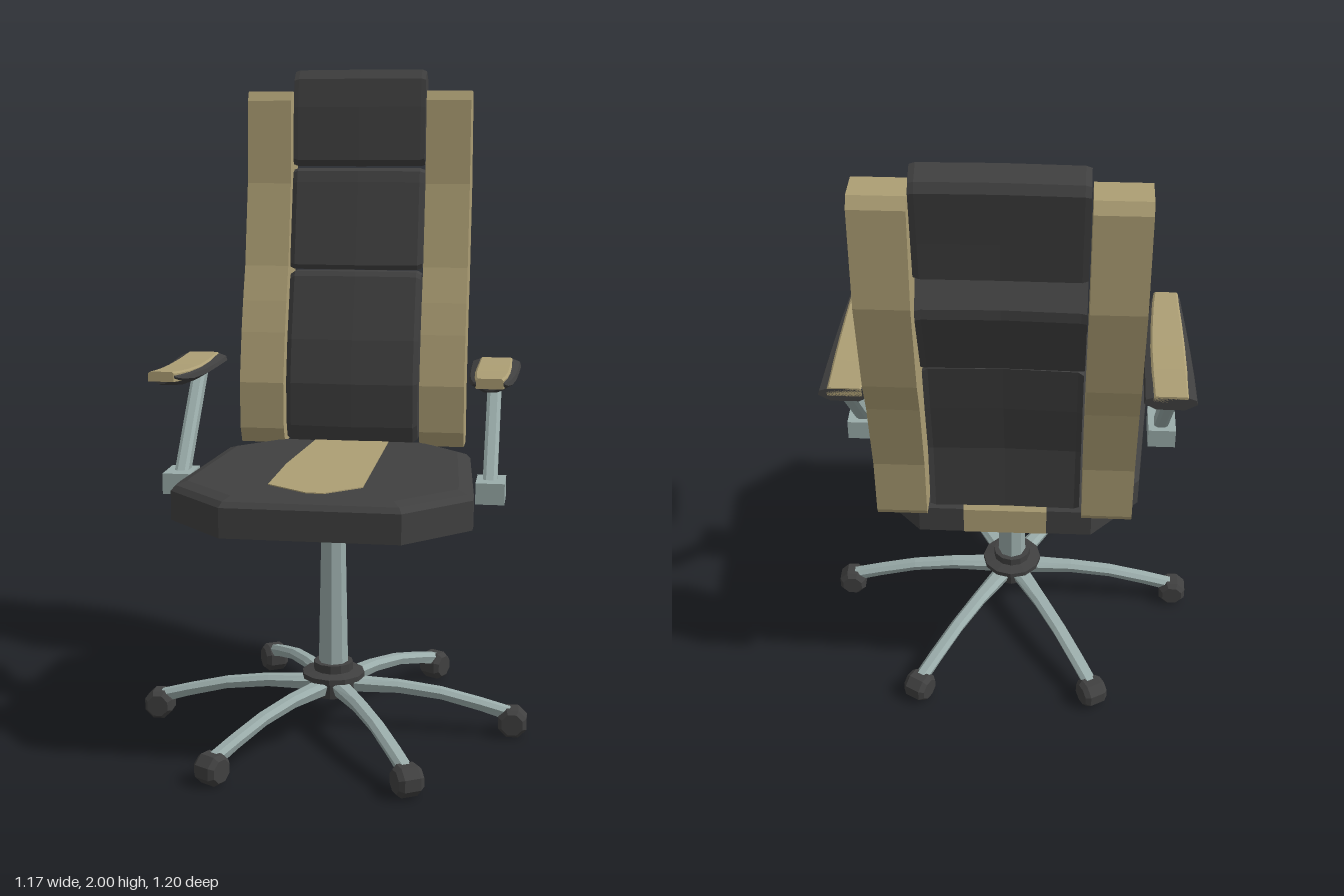
import * as THREE from 'three';

const material = (color) => {
  const m = new THREE.MeshStandardMaterial({ color, flatShading: true });
  return m;
};

// Closed solid through a list of rings (arrays of [x, y, z]); axis = the direction the rings follow
function loft(rings, axis) {
  const [u, v] = [0, 1, 2].filter((k) => k !== axis);
  const pos = [];
  let volume = 0;
  const tri = (a, b, c) => {
    pos.push([a, b, c]);
    volume += new THREE.Vector3(...a).dot(new THREE.Vector3(...b).cross(new THREE.Vector3(...c)));
  };
  const n = rings[0].length;
  for (let i = 0; i + 1 < rings.length; i++) {
    for (let j = 0; j < n; j++) {
      const k = (j + 1) % n, a = rings[i], b = rings[i + 1];
      tri(a[j], a[k], b[k]);
      tri(a[j], b[k], b[j]);
    }
  }
  const cap = (ring, reverse) => {
    const flat = ring.map((p) => new THREE.Vector2(p[u], p[v]));
    const sign = THREE.ShapeUtils.area(flat);
    for (const f of THREE.ShapeUtils.triangulateShape(flat, [])) {
      const same = THREE.ShapeUtils.area(f.map((i) => flat[i])) * sign > 0;
      const [a, b, c] = f.map((i) => ring[i]);
      if (same !== reverse) tri(a, b, c); else tri(a, c, b);
    }
  };
  cap(rings[0], true);
  cap(rings[rings.length - 1], false);
  const g = new THREE.BufferGeometry();
  const flat = pos.flatMap((t) => (volume < 0 ? [t[0], t[2], t[1]] : t)).flat();
  g.setAttribute('position', new THREE.Float32BufferAttribute(flat, 3));
  g.computeVertexNormals();
  return g;
}

// Side profile [z, y] swept along x; stations are [x, scale, forward shift]
const sweepX = (profile, stations) => {
  const c = [0, 1].map((k) => {
    const vals = profile.map((p) => p[k]);
    return (Math.min(...vals) + Math.max(...vals)) / 2;
  });
  return loft(stations.map(([x, s, f = 0]) => profile.map(([z, y]) =>
    [x, c[1] + (y - c[1]) * s, c[0] + (z - c[0]) * s + f])), 0);
};

// Plan outline [x, z] stacked along y; levels are [y, scale]
const stackY = (outline, levels, cz = 0.08) => loft(levels.map(([y, s]) =>
  outline.map(([x, z]) => [x * s, y, cz + (z - cz) * s])), 1);

const lathe = (points, sides) => new THREE.LatheGeometry(points.map((p) => new THREE.Vector2(...p)), sides);

export function createModel() {
  const model = new THREE.Group();
  const dark = material(0x404040), tan = material(0xac9e74), metal = material(0x9aacaa);
  const add = (name, geometry, mat, parent = model) => {
    const m = new THREE.Mesh(geometry, mat);
    m.name = name;
    parent.add(m);
    return m;
  };

  // Six-legged base with a wheel at the end of each leg
  const base = new THREE.Group();
  base.name = 'base';
  base.position.z = 0.08;
  model.add(base);
  const legSections = [[0.04, 0.12, 0.162, 0.03], [0.2, 0.122, 0.156, 0.024], [0.33, 0.108, 0.14, 0.023],
    [0.45, 0.078, 0.112, 0.023], [0.54, 0.05, 0.088, 0.022]];
  const legGeometry = loft(legSections.map(([r, lo, hi, w]) =>
    [[r, lo, -w * 0.7], [r, lo, w * 0.7], [r, hi - 0.012, w], [r, hi, w * 0.5], [r, hi, -w * 0.5], [r, hi - 0.012, -w]]), 0);
  const wheelGeometry = lathe([[0, -0.038], [0.034, -0.038], [0.046, -0.024], [0.046, 0.024], [0.034, 0.038], [0, 0.038]], 8)
    .rotateY(Math.PI / 8).rotateX(Math.PI / 2);
  for (let i = 0; i < 6; i++) {
    const arm = new THREE.Group();
    arm.name = 'baseLeg' + (i + 1);
    arm.rotation.y = i * Math.PI / 3;
    base.add(arm);
    add('leg', legGeometry, metal, arm);
    add('wheel', wheelGeometry, dark, arm).position.set(0.545, 0.046, 0);
  }
  add('hub', lathe([[0, 0.125], [0.045, 0.125], [0.05, 0.11], [0.07, 0.11], [0.075, 0.16], [0.095, 0.163], [0.095, 0.178],
    [0.06, 0.185], [0.06, 0.21], [0, 0.21]], 12), dark, base);
  add('column', lathe([[0.045, 0.2], [0.036, 0.66]], 8), metal, base);
  add('seatMount', lathe([[0, 0.655], [0.07, 0.655], [0.11, 0.69], [0.11, 0.705]], 10), dark, base);

  // Seat cushion with a centre stripe that wraps over the back edge
  const half = [[0.25, 0.53], [0.43, 0.345], [0.43, 0.29], [0.39, -0.23], [0.25, -0.38]];
  const outline = [...half, ...half.map(([x, z]) => [-x, z]).reverse()];
  add('seat', stackY(outline, [[0.7, 1], [0.785, 1], [0.8, 0.97], [0.81, 0.9]]), dark);
  add('seatStripe', stackY([[-0.12, -0.3], [0.12, -0.3], [0.122, 0.34], [0.025, 0.43], [-0.025, 0.43], [-0.148, 0.34],
    [-0.146, 0.06]], [[0.795, 1], [0.813, 1]]), tan);
  add('seatStripeBack', sweepX([[-0.384, 0.702], [-0.384, 0.785], [-0.37, 0.802], [-0.335, 0.813], [-0.3, 0.813],
    [-0.3, 0.702]], [[-0.12, 1], [0.12, 1]]), tan);

  // Backrest side panels
  const panel = [[-0.33, 0.8], [-0.305, 0.85], [-0.3, 1.0], [-0.335, 1.16], [-0.365, 1.26], [-0.405, 1.37], [-0.46, 1.635],
    [-0.475, 1.9], [-0.49, 1.93], [-0.58, 1.93], [-0.598, 1.9], [-0.598, 1.62], [-0.54, 1.34], [-0.5, 1.235],
    [-0.445, 1.0], [-0.432, 0.82], [-0.42, 0.8]];
  for (const s of [1, -1]) {
    add(s > 0 ? 'leftBackPanel' : 'rightBackPanel', sweepX(panel, [[s * 0.22, 1], [s * 0.363, 1]]), tan);
  }

  // Backrest cushions, slightly rounded across the width
  const across = (w) => [[-w, 0.96, -0.008], [-w + 0.015, 0.995, -0.003], [0, 1, 0.003], [w - 0.015, 0.995, -0.003], [w, 0.96, -0.008]];
  add('lowerCushion', sweepX([[-0.325, 0.81], [-0.308, 0.86], [-0.302, 1.0], [-0.33, 1.14], [-0.392, 1.34], [-0.405, 1.355],
    [-0.47, 1.355], [-0.44, 1.2], [-0.4, 1.03], [-0.39, 0.81]], across(0.213)), dark);
  add('middleCushion', sweepX([[-0.41, 1.36], [-0.402, 1.375], [-0.462, 1.64], [-0.475, 1.675], [-0.5, 1.685],
    [-0.56, 1.6], [-0.56, 1.57], [-0.475, 1.36]], across(0.215)), dark);
  add('headrest', sweepX([[-0.49, 1.69], [-0.478, 1.71], [-0.492, 1.88], [-0.508, 1.97], [-0.54, 2.0], [-0.59, 1.975],
    [-0.602, 1.95], [-0.58, 1.8], [-0.565, 1.69]], [[-0.215, 0.96], [-0.2, 0.995], [0, 1, 0.003], [0.2, 0.995], [0.215, 0.96]]), dark);

  // Armrests: [z, bottom, top, inner x, outer x]
  const pad = [[-0.24, 1.06, 1.102, 0.39, 0.543], [-0.1, 1.058, 1.097, 0.392, 0.54], [0.02, 1.056, 1.097, 0.396, 0.535],
    [0.14, 1.06, 1.102, 0.405, 0.527], [0.23, 1.071, 1.109, 0.415, 0.518], [0.28, 1.082, 1.114, 0.425, 0.512]];
  for (const s of [1, -1]) {
    const arm = new THREE.Group();
    arm.name = s > 0 ? 'leftArmrest' : 'rightArmrest';
    model.add(arm);
    add('bracket', new THREE.BoxGeometry(0.085, 0.063, 0.125), metal, arm).position.set(s * 0.468, 0.755, 0.07);
    const strut = (y, z) => [[0.444, z + 0.022], [0.454, z + 0.03], [0.476, z + 0.03], [0.486, z + 0.022],
      [0.486, z - 0.022], [0.476, z - 0.03], [0.454, z - 0.03], [0.444, z - 0.022]].map(([x, zz]) => [s * x, y, zz]);
    add('strut', loft([strut(0.77, 0.07), strut(1.065, -0.195)], 1), metal, arm);
    add('pad', loft(pad.map(([z, lo, hi, a, b]) => [[a + 0.035, lo], [b - 0.035, lo], [b, lo + 0.02], [b - 0.004, hi - 0.008],
      [b - 0.025, hi], [a + 0.025, hi], [a + 0.004, hi - 0.008], [a, lo + 0.02]].map(([x, y]) => [s * x, y, z])), 2), dark, arm);
    add('padTop', loft(pad.map(([z, lo, hi, a, b], i) => {
      const inset = 0.026 - i * 0.004, zz = i === 5 ? z + 0.004 : z;
      return [[a + inset, hi - 0.025], [b - inset, hi - 0.025], [b - inset, hi - 0.001], [b - inset - 0.006, hi + 0.004],
        [a + inset + 0.006, hi + 0.004], [a + inset, hi - 0.001]].map(([x, y]) => [s * x, y, zz]);
    }), 2), tan, arm);
  }
  return model;
}
